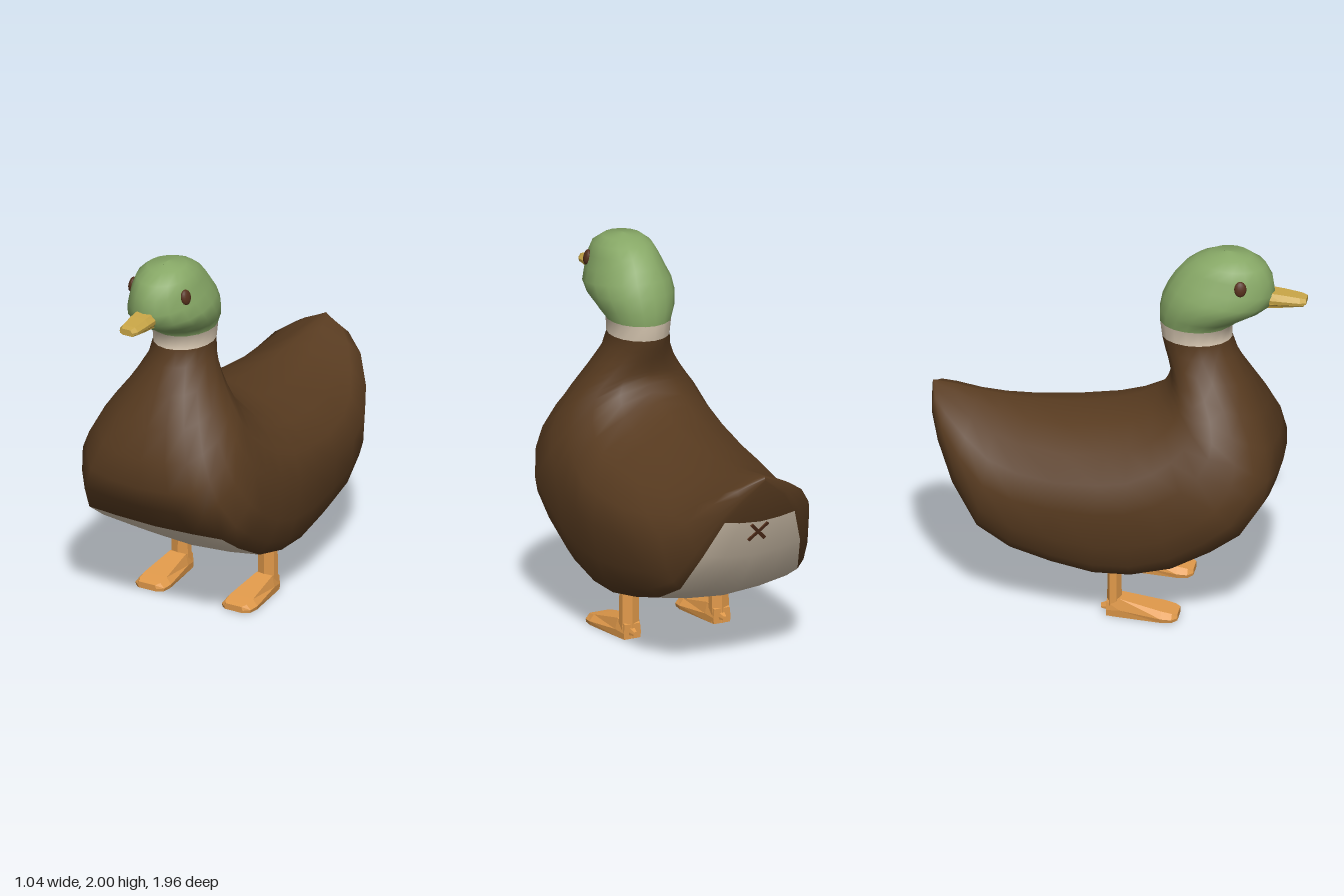
import * as THREE from 'three';

const mat = (name, color) => Object.assign(new THREE.MeshStandardMaterial({ color }), { name });

// Skin a list of equal-length closed rings; pick(row, col) gives the material group.
function loft(rings, { pick = () => 0, groups = 1, caps = false, flat = false } = {}) {
  const n = rings[0].length;
  const lists = Array.from({ length: groups }, () => []);
  for (let r = 0; r < rings.length - 1; r++) {
    for (let j = 0; j < n; j++) {
      const k = (j + 1) % n;
      const a = r * n + j, b = r * n + k, c = (r + 1) * n + k, d = (r + 1) * n + j;
      lists[pick(r, j)].push(a, b, c, a, c, d);
    }
  }
  if (caps) {
    const e = (rings.length - 1) * n;
    for (let j = 1; j < n - 1; j++) lists[0].push(0, j + 1, j, e, e + j, e + j + 1);
  }
  let geo = new THREE.BufferGeometry();
  geo.setAttribute('position', new THREE.Float32BufferAttribute(rings.flat(2), 3));
  geo.setIndex(lists.flat());
  if (groups > 1) {
    let start = 0;
    lists.forEach((l, i) => { geo.addGroup(start, l.length, i); start += l.length; });
  }
  if (flat) geo = geo.toNonIndexed();
  geo.computeVertexNormals();
  return geo;
}

// Half cross-sections from underside to back: [share of height, share of half width]
const HULL = [[0, 0], [0.02, 0.45], [0.055, 0.79], [0.13, 0.88], [0.27, 0.95],
  [0.5, 1], [0.68, 0.93], [0.83, 0.72], [0.94, 0.37], [1, 0]];
const ROOF = [[0, 0], [0.035, 0.45], [0.09, 0.79], [0.15, 0.88], [0.27, 0.95],
  [0.5, 1], [0.68, 0.73], [0.83, 0.42], [0.94, 0.16], [1, 0]];
const CHEST = [[0, 0], [0.008, 0.45], [0.02, 0.79], [0.12, 0.9], [0.27, 1],
  [0.5, 0.93], [0.68, 0.8], [0.83, 0.6], [0.94, 0.33], [1, 0]];
const OVAL = HULL.map((_, j) => {
  const a = Math.PI * j / 9;
  return [(1 - Math.cos(a)) / 2, Math.sin(a)];
});

// Spine sections: back z, back y, underside z, underside y, half width
const TRUNK = [
  [-0.975, 1.135, -0.98, 1.11, 0],
  [-0.94, 1.13, -0.965, 1, 0.15],
  [-0.86, 1.12, -0.925, 0.87, 0.26],
  [-0.73, 1.095, -0.84, 0.66, 0.36],
  [-0.6, 1.08, -0.7, 0.44, 0.435],
  [-0.45, 1.068, -0.52, 0.345, 0.475],
  [-0.25, 1.07, -0.3, 0.29, 0.497],
  [-0.02, 1.105, -0.08, 0.246, 0.515],
  [0.1, 1.14, 0.12, 0.247, 0.52],
  [0.19, 1.185, 0.34, 0.31, 0.52],
  [0.235, 1.225, 0.55, 0.435, 0.52],
  [0.257, 1.265, 0.7, 0.55, 0.51],
];
const NECK = [
  [0.265, 1.29, 0.82, 0.7, 0.465],
  [0.267, 1.31, 0.857, 0.82, 0.42],
  [0.265, 1.33, 0.84, 0.97, 0.355],
  [0.26, 1.36, 0.775, 1.13, 0.285],
  [0.25, 1.4, 0.69, 1.29, 0.218],
  [0.235, 1.45, 0.62, 1.42, 0.172],
  [0.22, 1.51, 0.59, 1.51, 0.157],
];
const HEAD = [
  [0.21, 1.593, 0.592, 1.588, 0.163],
  [0.21, 1.66, 0.65, 1.63, 0.194],
  [0.226, 1.74, 0.74, 1.675, 0.217],
  [0.258, 1.81, 0.8, 1.72, 0.217],
  [0.295, 1.87, 0.815, 1.78, 0.191],
  [0.34, 1.92, 0.803, 1.86, 0.17],
  [0.4, 1.962, 0.765, 1.93, 0.147],
  [0.47, 1.988, 0.69, 1.98, 0.1],
  [0.56, 2, 0.58, 2, 0],
];
const CHEST_ROW = TRUNK.length - 1;
const HEAD_ROW = TRUNK.length + NECK.length;

// Cross-section shape along the spine, blended between these rows
const STOPS = [[0, ROOF], [2, ROOF], [6, HULL], [8, HULL], [CHEST_ROW, CHEST],
  [CHEST_ROW + 6, OVAL], [HEAD_ROW + HEAD.length, OVAL]];

function bodyRing([tz, ty, bz, by, w], row) {
  const i = STOPS.findIndex(([stop]) => stop > row);
  const [[r0, from], [r1, to]] = [STOPS[i - 1], STOPS[i]];
  const k = (row - r0) / (r1 - r0);
  const half = from.map(([s0, f0], j) => {
    const s = s0 + (to[j][0] - s0) * k;
    const f = f0 + (to[j][1] - f0) * k;
    return [w * f, by + (ty - by) * s, bz + (tz - bz) * s];
  });
  const mirrored = half.slice(1, -1).reverse().map(([x, y, z]) => [-x, y, z]);
  return [...half, ...mirrored];
}

// Six-sided rings along z: [z, low y, high y, half width, top half width]
const hexRings = rows => rows.map(([z, lo, hi, w, t]) => {
  const mid = lo + (hi - lo) * 0.4;
  return [[w * 0.95, lo, z], [w, mid, z], [t, hi, z], [-t, hi, z], [-w, mid, z], [-w * 0.95, lo, z]];
});
const hexBar = rows => loft(hexRings(rows), { caps: true, flat: true });

export function createModel() {
  const model = new THREE.Group();
  model.name = 'duck';
  const brown = mat('brown plumage', 0x583b20);
  const cream = mat('cream plumage', 0xd8c8b2);
  const green = mat('green head', 0x87a866);
  const yellow = mat('yellow beak', 0xc9a647);
  const orange = mat('orange legs', 0xe0994a);
  const dark = mat('dark brown', 0x55301c);

  const add = (name, geo, material, parent = model) => {
    const m = new THREE.Mesh(geo, material);
    m.name = name;
    parent.add(m);
    return m;
  };

  // Body, neck and head in one skin: brown, cream belly and collar, green head
  add('bodyAndHead', loft([...TRUNK, ...NECK, ...HEAD].map(bodyRing), {
    groups: 3,
    pick: (r, j) => {
      if (r >= HEAD_ROW) return 2;
      const belly = r >= 2 && r < CHEST_ROW && (j < 2 || j > 15);
      return belly || r === HEAD_ROW - 1 ? 1 : 0;
    },
  }), [brown, cream, green]);

  // Beak, with a fine line between the two halves
  add('upperBeak', hexBar([
    [0.76, 1.738, 1.795, 0.066, 0.045],
    [0.86, 1.737, 1.785, 0.063, 0.042],
    [0.95, 1.735, 1.772, 0.055, 0.036],
    [0.98, 1.737, 1.764, 0.038, 0.026],
  ]), yellow);
  add('lowerBeak', hexBar([
    [0.76, 1.708, 1.735, 0.05, 0.06],
    [0.87, 1.716, 1.734, 0.046, 0.056],
    [0.968, 1.724, 1.732, 0.034, 0.04],
  ]), yellow);

  for (const side of [-1, 1]) {
    // Eye
    const eye = add('eye', new THREE.SphereGeometry(1, 16, 10), dark);
    eye.scale.set(0.018, 0.041, 0.032);
    eye.position.set(side * 0.163, 1.863, 0.657);
    eye.rotation.set(0, side * -0.25, side * 0.22);

    // Leg, webbed foot and hind toe
    const leg = new THREE.Group();
    leg.name = side > 0 ? 'leftLeg' : 'rightLeg';
    leg.position.x = side * 0.263;
    model.add(leg);
    const shank = new THREE.CylinderGeometry(0.046, 0.053, 0.38, 6).toNonIndexed();
    shank.scale(1.12, 1, 0.75);
    shank.computeVertexNormals();
    add('shank', shank, orange, leg).position.set(0, 0.19, 0.015);
    add('foot', hexBar([
      [-0.022, 0, 0.08, 0.05, 0.045],
      [0.05, 0, 0.1, 0.062, 0.048],
      [0.27, 0, 0.055, 0.095, 0.068],
      [0.325, 0, 0.043, 0.088, 0.064],
      [0.352, 0.003, 0.036, 0.055, 0.048],
    ]), orange, leg);
    add('hindToe', hexBar([
      [-0.055, 0.025, 0.045, 0.012, 0.008],
      [-0.01, 0.02, 0.06, 0.022, 0.015],
    ]), orange, leg);

    // One stroke of the crossed mark under the tail
    const stroke = add('tailMark', new THREE.BoxGeometry(0.018, 0.14, 0.009), dark);
    stroke.position.set(0, 0.81, -0.902);
    stroke.rotation.set(Math.PI - 0.39, 0, side * 0.75);
  }
  return model;
}
